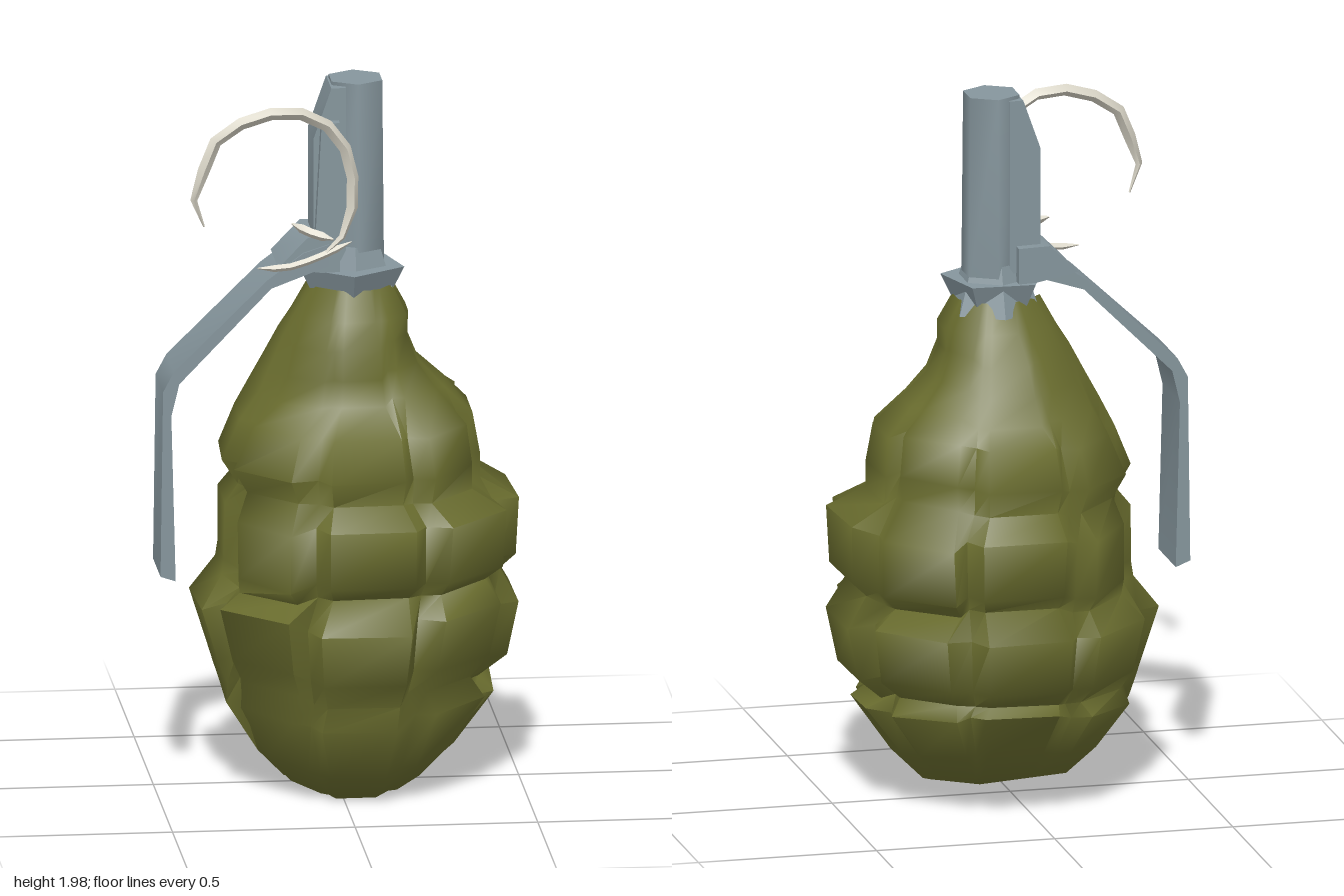
import * as THREE from 'three';
import { toCreasedNormals } from 'three/addons/utils/BufferGeometryUtils.js';

const olive = new THREE.MeshStandardMaterial({ color: 0x696c2e });
olive.name = 'olive';
const steel = new THREE.MeshStandardMaterial({ color: 0x86969d });
steel.name = 'steel';
const wire = new THREE.MeshStandardMaterial({ color: 0xd6d2c4 });
wire.name = 'pale wire';

// Repeatable noise in -1..1
function noise(a, b) {
  const s = Math.sin(a * 127.1 + b * 311.7) * 43758.5453;
  return (s - Math.floor(s)) * 2 - 1;
}

function add(group, name, geometry, material, crease = 0.9) {
  const mesh = new THREE.Mesh(toCreasedNormals(geometry, crease), material);
  mesh.name = name;
  group.add(mesh);
  return mesh;
}

// Lumpy egg-shaped casing around x = 0.045.
// Rings: height, reach to -x, +x, +z and -z, depth of the upright grooves, block row
function casingGeometry() {
  const rings = [
    [0.07, 0.2, 0.19, 0.2, 0.19, 0.03, 0], [0.15, 0.28, 0.27, 0.28, 0.29, 0.05, 0],
    [0.29, 0.365, 0.38, 0.37, 0.38, 0.08, 0],
    [0.35, 0.37, 0.34, 0.36, 0.35, 0.04, 1], [0.41, 0.395, 0.41, 0.41, 0.41, 0.08, 1],
    [0.56, 0.435, 0.44, 0.45, 0.44, 0.1, 1],
    [0.62, 0.36, 0.39, 0.38, 0.37, 0.03, 2], [0.66, 0.36, 0.44, 0.43, 0.41, 0.08, 2],
    [0.82, 0.35, 0.435, 0.44, 0.435, 0.09, 2],
    [0.89, 0.33, 0.34, 0.35, 0.35, 0.03, 3], [0.96, 0.375, 0.335, 0.385, 0.375, 0.09, 3],
    [1.07, 0.32, 0.325, 0.34, 0.335, 0.09, 3],
    [1.13, 0.27, 0.25, 0.22, 0.28, 0.03, 4], [1.2, 0.235, 0.18, 0.2, 0.24, 0.03, 4],
    [1.28, 0.195, 0.145, 0.2, 0.2, 0.02, 4], [1.35, 0.165, 0.15, 0.16, 0.14, 0, 4],
    [1.43, 0.12, 0.11, 0.12, 0.1, 0, 4],
  ];
  const blocks = 8, n = blocks * 3;
  const offsets = [-0.5, -0.34, 0.34]; // groove, then the two block edges
  const pos = [], index = [];
  rings.forEach(([y, left, right, front, back, groove, row], i) => {
    for (let j = 0; j < n; j++) {
      const b = Math.floor(j / 3), k = j % 3;
      const a = ((b + offsets[k]) / blocks) * Math.PI * 2 + noise(row, b) * 0.05;
      const s = Math.sin(a), c = Math.cos(a);
      const r = 1 / Math.hypot(s / (s < 0 ? left : right), c / (c < 0 ? back : front));
      const lump = 1.02 + 0.02 * noise(row + 3, b) + 0.02 * noise(i, j);
      const rad = r * (k === 0 ? 1 - groove : lump);
      const z = rad * c;
      const tilt = 0.28 * Math.max(0, 1 - y / 0.4); // the base leans forward
      const wobble = y > 1.3 ? 0 : 0.02 * noise(row + 9, b) * Math.min(1, y / 0.3);
      pos.push(rad * s + 0.045, y - z * tilt + wobble, z);
    }
  });
  for (let i = 0; i < rings.length - 1; i++) {
    for (let j = 0; j < n; j++) {
      const k = (j + 1) % n, a = i * n, b = a + n;
      index.push(a + j, a + k, b + k, a + j, b + k, b + j);
    }
  }
  const base = pos.length / 3;
  pos.push(0.07, 0.03, 0.06);
  for (let j = 0; j < n; j++) index.push(base, (j + 1) % n, j);
  const g = new THREE.BufferGeometry();
  g.setAttribute('position', new THREE.Float32BufferAttribute(pos, 3));
  g.setIndex(index);
  return g;
}

// Side outline pushed through z, then skewed so that it swings forward towards -x
function skewedPlate(points, zMin, zMax, skew) {
  const shape = new THREE.Shape(points.map(([x, y]) => new THREE.Vector2(x, y)));
  const g = new THREE.ExtrudeGeometry(shape, { depth: zMax - zMin, bevelEnabled: false });
  g.translate(0, 0, zMin);
  const p = g.attributes.position;
  for (let i = 0; i < p.count; i++) p.setZ(i, p.getZ(i) - skew * p.getX(i));
  return g;
}

// Bent wire with thinned ends
function wireGeometry(points, radius, segments) {
  const curve = new THREE.CatmullRomCurve3(points.map((q) => new THREE.Vector3(...q)));
  const g = new THREE.TubeGeometry(curve, segments, radius, 4);
  const p = g.attributes.position, v = new THREE.Vector3();
  for (let i = 0; i <= segments; i++) {
    const c = curve.getPointAt(i / segments);
    const s = Math.min(1, 0.15 + 5 * Math.min(i, segments - i) / segments);
    for (let j = 0; j < 5; j++) {
      const at = i * 5 + j;
      v.fromBufferAttribute(p, at).sub(c).multiplyScalar(s).add(c);
      p.setXYZ(at, v.x, v.y, v.z);
    }
  }
  return g;
}

export function createModel() {
  const model = new THREE.Group();
  model.name = 'grenade';

  add(model, 'casing', casingGeometry(), olive, 1.3);

  // Fuse: five-sided flared collar and upright tube
  const collar = add(model, 'collar', new THREE.CylinderGeometry(0.15, 0.115, 0.07, 5), steel);
  collar.position.set(0.04, 1.445, 0.01);
  collar.rotation.y = 1.22;
  const neck = add(model, 'neck', new THREE.CylinderGeometry(0.08, 0.13, 0.15, 6), steel);
  neck.position.set(0.045, 1.465, 0);
  const tube = add(model, 'fuseTube', new THREE.CylinderGeometry(0.08, 0.085, 0.53, 6), steel, 1.2);
  tube.position.set(0.054, 1.735, -0.005);

  // Bracket between the tube and the lever
  add(model, 'bracket', skewedPlate(
    [[-0.07, 1.52], [0.02, 1.5], [0.02, 1.99], [-0.02, 1.99], [-0.07, 1.85]],
    -0.07, 0.07, 0.1), steel);
  add(model, 'bracketCheek', skewedPlate(
    [[-0.07, 1.53], [0, 1.53], [0, 1.9], [-0.05, 1.9]], 0.07, 0.1, 0.1), steel);

  // Safety lever with a wider shoulder at the bracket
  add(model, 'lever', skewedPlate([
    [-0.03, 1.56], [-0.1, 1.54], [-0.2, 1.47], [-0.46, 1.225], [-0.49, 1.17], [-0.497, 0.65],
    [-0.455, 0.635], [-0.467, 1.1], [-0.445, 1.19], [-0.19, 1.445], [-0.03, 1.5],
  ], -0.09, 0.105, 0.11), steel);
  add(model, 'leverShoulder', skewedPlate([
    [0, 1.58], [-0.09, 1.58], [-0.17, 1.5], [-0.05, 1.48], [0, 1.48],
  ], -0.1, 0.1, 0.1), steel);

  // Open pull ring and its split pin
  add(model, 'pullRing', wireGeometry([
    [-0.38, 1.64, 0.18], [-0.41, 1.7, 0.19], [-0.38, 1.8, 0.18], [-0.335, 1.89, 0.17],
    [-0.17, 1.95, 0.16], [-0.06, 1.92, 0.14], [0.01, 1.84, 0.125], [0.035, 1.7, 0.12],
    [0.005, 1.59, 0.13], [-0.06, 1.53, 0.14],
  ], 0.017, 12), wire);
  add(model, 'splitPin', wireGeometry([
    [0.03, 1.57, 0.12], [-0.06, 1.535, 0.14], [-0.15, 1.51, 0.15], [-0.23, 1.51, 0.15],
  ], 0.01, 6), wire);
  add(model, 'pinTail', wireGeometry([
    [-0.02, 1.58, 0.13], [-0.08, 1.595, 0.11], [-0.13, 1.615, 0.08],
  ], 0.013, 4), wire);

  return model;
}
